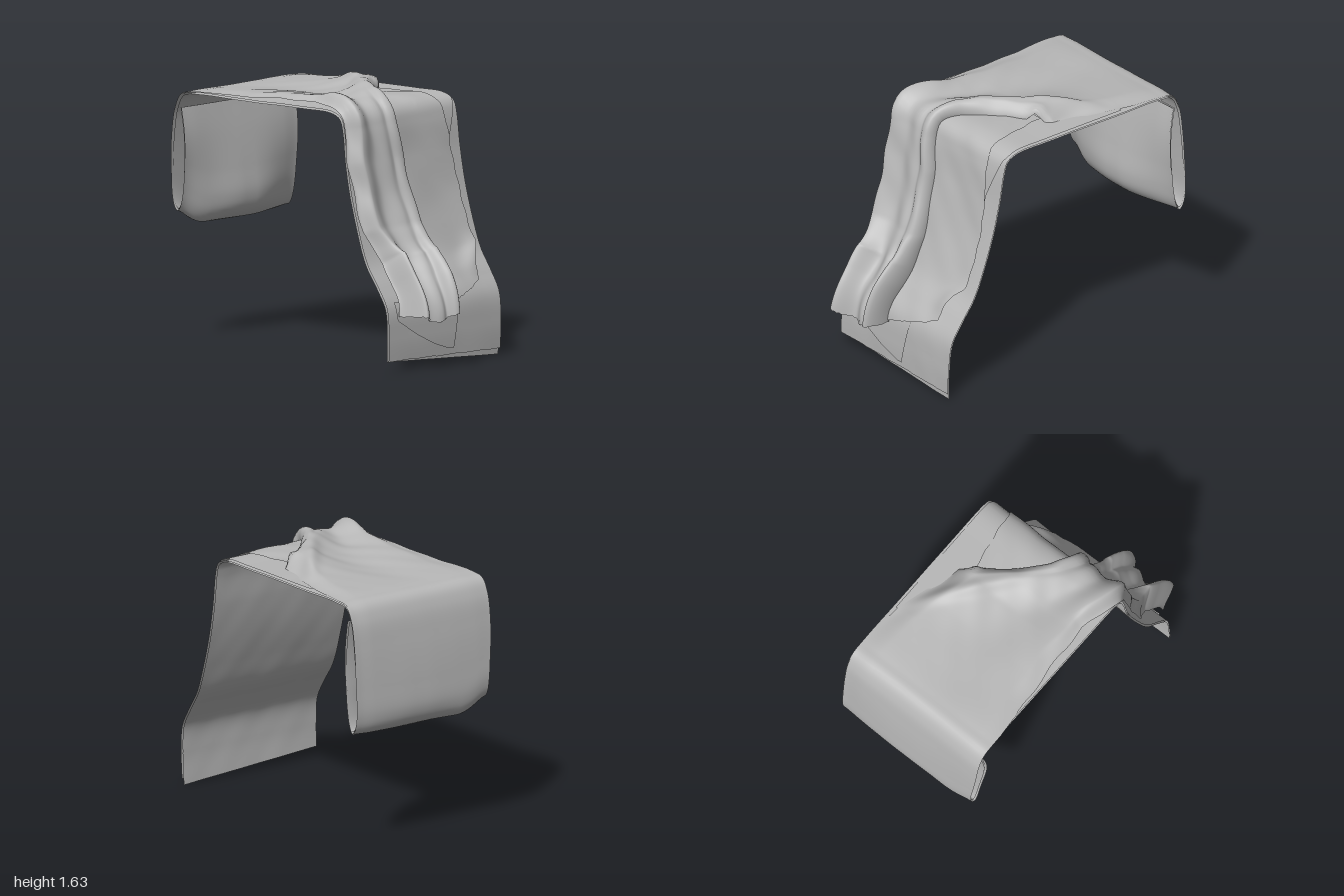
import * as THREE from 'three';

const cloth = new THREE.MeshStandardMaterial({ color: 0xb8b8b8, side: THREE.DoubleSide });
cloth.name = 'grey cloth';

// Drape line as [z, y]: up the front, over the top, down the back, folded up inside
const line = new THREE.CatmullRomCurve3([
  [0.79, 0.0], [0.79, 0.2], [0.77, 0.37], [0.70, 0.49], [0.61, 0.62], [0.54, 0.8], [0.478, 1.0],
  [0.433, 1.2], [0.402, 1.4], [0.375, 1.475], [0.31, 1.505], [0.1, 1.51], [-0.4, 1.51], [-0.79, 1.51],
  [-0.875, 1.495], [-0.918, 1.42], [-0.95, 1.25], [-0.975, 1.0], [-0.978, 0.83], [-0.95, 0.755],
  [-0.895, 0.725], [-0.84, 0.775], [-0.82, 0.86], [-0.835, 1.02], [-0.865, 1.23], [-0.9, 1.42],
].map(([z, y]) => new THREE.Vector3(0, y, z)), false, 'centripetal');
line.arcLengthDivisions = 1500;

const N = 800;
const samples = [];
for (let i = 0; i <= N; i++) samples.push(line.getPointAt(i / N));
const tAtY = (y) => Math.max(0, samples.findIndex((p) => p.y >= y)) / N;
const tAtZ = (z) => samples.findIndex((p) => p.z <= z) / N;

const { lerp, smoothstep } = THREE.MathUtils;
const bell = (x, c, w) => Math.exp(-(((x - c) / w) ** 2));

// Table lookup, linear or eased between entries
function pw(table, k, eased = false) {
  if (k <= table[0][0]) return table[0][1];
  for (let i = 1; i < table.length; i++) {
    if (k <= table[i][0]) {
      const [a, b] = [table[i - 1], table[i]];
      const f = (k - a[0]) / (b[0] - a[0]);
      return lerp(a[1], b[1], eased ? smoothstep(f, 0, 1) : f);
    }
  }
  return table[table.length - 1][1];
}

// Running coordinate: height on the front, then 1.5 + distance back along the top
const keyOf = (p) => (p.z > 0.37 ? Math.min(p.y, 1.5) : 1.5 + 0.37 - p.z);
const ripple = (x, k) => Math.sin(x * 17 + k * 5) * 0.5 + Math.sin(x * 9 - k * 13 + 1) * 0.3 + Math.sin(x * 31 + k * 23) * 0.2;

// The hanging back fold flattens towards both ends and has a rounded lower corner
function shapeBackFold(v) {
  if (v.z > -0.78) return;
  const w = smoothstep(1.47 - v.y, 0, 0.72);
  const endA = smoothstep(-v.x, 0, 0.52), endB = smoothstep(v.x, 0.1, 0.53);
  v.z = lerp(v.z, -0.92 - 0.055 * w, w * Math.max(0.55 * endA, 0.5 * endB));
  v.y += w * (0.09 * smoothstep(-v.x, 0.25, 0.53) + 0.02 * endB);
  v.x += 0.03 * w * w * smoothstep(-v.x, 0.3, 0.52);
}

// Sheet on the drape line; rule(u, p, k) gives [x, distance off the line]
function sheet(name, nu, nv, t0, t1, rule) {
  const pos = [], idx = [], v = new THREE.Vector3();
  for (let j = 0; j <= nv; j++) {
    for (let i = 0; i <= nu; i++) {
      const u = i / nu;
      const t = lerp(t0(u), t1, j / nv);
      const p = line.getPointAt(t), d = line.getTangentAt(t);
      const [x, off] = rule(u, p, keyOf(p));
      v.set(x, Math.max(0, p.y - d.z * off), p.z + d.y * off);
      shapeBackFold(v);
      pos.push(v.x, v.y, v.z);
      if (i < nu && j < nv) {
        const a = j * (nu + 1) + i, b = a + nu + 1;
        idx.push(a, a + 1, b + 1, a, b + 1, b);
      }
    }
  }
  const g = new THREE.BufferGeometry();
  g.setAttribute('position', new THREE.Float32BufferAttribute(pos, 3));
  g.setIndex(idx);
  g.computeVertexNormals();
  const m = new THREE.Mesh(g, cloth);
  m.name = name;
  return m;
}

// Side edges of the base strip
const baseLeft = [[0, -0.535], [1.5, -0.49], [2.7, -0.48]];
const baseRight = [[0, 0.465], [0.7, 0.495], [1.5, 0.52], [2.7, 0.525]];
const baseX = (u, k) => lerp(pw(baseLeft, k), pw(baseRight, k), u);

// Edges and heights of the crumpled top cloth
const foldLeft = [[0.3, -0.46], [0.6, -0.435], [0.8, -0.5], [1.2, -0.51], [1.5, -0.495], [1.77, -0.435], [2.0, -0.44], [2.6, -0.49]];
const foldRight = [[0.3, -0.08], [0.8, -0.05], [1.2, -0.075], [1.4, -0.1], [1.5, -0.11], [1.6, -0.04], [1.77, 0.14],
  [1.89, 0.29], [1.95, 0.37], [2.37, 0.5], [2.7, 0.525]];
const foldRise = [[0.3, 0.2], [0.45, 0.2], [0.6, 0.19], [0.7, 0.145], [0.8, 0.11], [1.0, 0.1], [1.4, 0.095], [1.5, 0.1],
  [1.8, 0.105], [2.0, 0.085], [2.2, 0.055], [2.5, 0.022], [2.68, 0.006]];
const frontProfile = [[0, 0.22], [0.17, 1], [0.48, 0.55], [0.72, 0.75], [0.8, 0.72], [0.91, 1], [1, 0.12]];
const topProfile = [[0, 0.25], [0.12, 0.6], [0.42, 0.26], [0.87, 1], [1, 0.12]];
const foldHem = [[0, 0.32], [0.3, 0.29], [0.65, 0.265], [1, 0.31]];

// Edges of the flat part beside the fold
const flatRight = [[0.44, 0.33], [0.52, 0.335], [0.58, 0.38], [0.65, 0.43], [1.0, 0.425], [1.4, 0.39], [1.5, 0.37], [1.9, 0.3]];
const flatHem = [[0, 0.28], [0.3, 0.33], [0.8, 0.4], [1, 0.44]];
const underRight = [[0.8, 0.35], [1.23, 0.4], [1.5, 0.51], [2.4, 0.51]];

// Corner flap below the hem
const flapLeft = [[0.08, 0.03], [0.13, -0.13], [0.2, -0.28], [0.3, -0.45], [0.4, -0.45]];
const flapRight = [[0.08, 0.045], [0.37, 0.11], [0.4, 0.115]];

export function createModel() {
  const group = new THREE.Group();
  group.name = 'drapedCloth';

  // Two long base layers
  group.add(sheet('baseLayer', 30, 200, (u) => lerp(tAtY(0.055), 0, u), 1,
    (u, p, k) => [baseX(u, k), 0.002 * ripple(u, k)]));
  group.add(sheet('secondLayer', 30, 200, (u) => tAtY(lerp(0.06, 0.035, u)), 1,
    (u, p, k) => [baseX(u, k) + 0.004, 0.011 + 0.002 * ripple(u, k)]));

  // Thin layers between base and top cloth
  group.add(sheet('cornerFlap', 20, 20, () => tAtY(0.085), tAtY(0.4),
    (u, p, k) => [lerp(pw(flapLeft, k), pw(flapRight, k), u), 0.019]));
  group.add(sheet('underLayer', 20, 60, () => tAtY(0.8), tAtZ(-0.5),
    (u, p, k) => [lerp(-0.25, pw(underRight, k), u), 0.02]));

  // Smooth part beside the fold, lifting at its free corner
  group.add(sheet('flatPanel', 40, 90, (u) => tAtY(pw(flatHem, u)), tAtZ(-0.05),
    (u, p, k) => [lerp(-0.2, pw(flatRight, k), u) + 0.004 * Math.sin(k * 40) * u,
      0.031 + 0.006 * ripple(u * 0.5, k) + 0.025 * bell(k, 0.35, 0.15) * (1 - u)
      + 0.04 * bell(u, 1, 0.15) * bell(k, 0.58, 0.1)]));

  // Raised crumpled cloth with a rolled edge, wrapping on around the back fold
  group.add(sheet('crumpledFold', 90, 240, (u) => tAtY(pw(foldHem, u)), 1, (u, p, k) => {
    const roll = 0.032 * bell(u, 0.95, 0.05) * smoothstep(2.1 - k, 0, 0.2);
    const x = lerp(pw(foldLeft, k), pw(foldRight, k), u) + roll
      + 0.006 * Math.sin(k * 19 + u * 4) * (1 - 0.5 * u) * smoothstep(2.6 - k, 0, 0.3);
    const rise = pw(foldRise, k);
    const profile = lerp(pw(frontProfile, u, true), pw(topProfile, u, true), smoothstep(k, 1.45, 1.85));
    let off = 0.015 + rise * (profile - 0.06 + 0.1 * ripple(x, k));
    off += 0.05 * bell(x, 0.3, 0.03) * bell(p.z, 0, 0.06);
    off += 0.025 * bell(x + 0.78 * p.z, 0.11, 0.055) * bell(k, 2.0, 0.28);
    return [x, Math.max(0.016, off)];
  }));

  return group;
}
